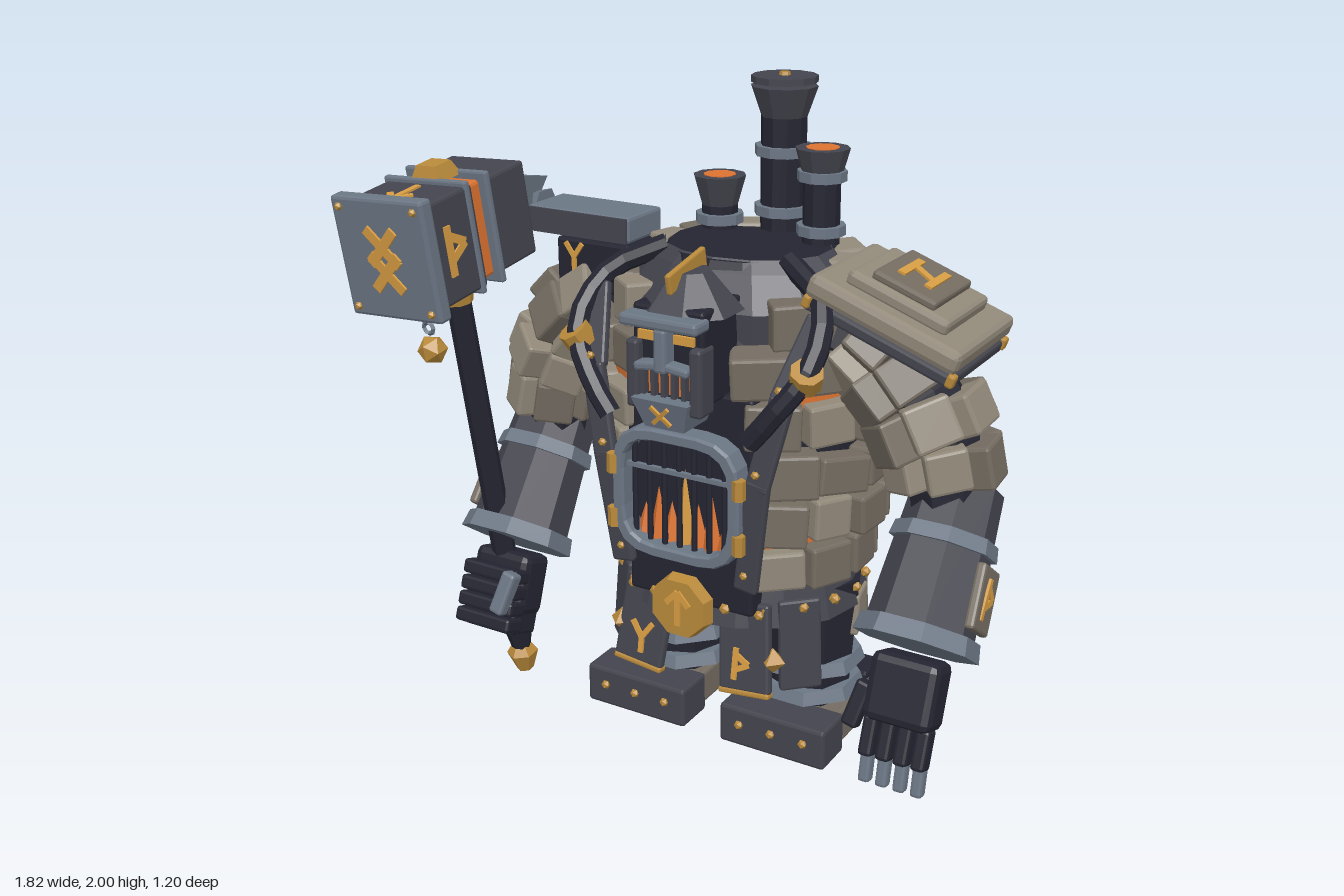
import * as THREE from 'three';
import { RoundedBoxGeometry } from 'three/addons/geometries/RoundedBoxGeometry.js';

const mat = (name, color) => new THREE.MeshStandardMaterial({ name, color, flatShading: true });
const stone = mat('stone', 0x918879), darkStone = mat('dark stone', 0x746c61), iron = mat('iron', 0x44444e),
  black = mat('black iron', 0x242531), steel = mat('steel', 0x6b7684), brass = mat('brass', 0xb8893a),
  gold = mat('bright gold', 0xd69c42), ember = mat('ember', 0xdb7230);
const HALF = Math.PI / 2, OCT = Math.PI / 8;
let seed = 7;
const rnd = () => (seed = (seed * 16807) % 2147483647) / 2147483647 - 0.5;

function place(parent, o, name, pos = [0, 0, 0], rot = [0, 0, 0]) {
  o.name = name;
  o.position.set(...pos);
  o.rotation.set(...rot);
  parent.add(o);
  return o;
}
const group = (p, name, pos, rot) => place(p, new THREE.Group(), name, pos, rot);
const add = (p, name, geo, m, pos, rot) => place(p, new THREE.Mesh(geo, m), name, pos, rot);
const box = (p, name, m, s, pos, rot, bevel = 0.01) =>
  add(p, name, bevel ? new RoundedBoxGeometry(...s, 1, Math.min(bevel, Math.min(...s) * 0.3)) : new THREE.BoxGeometry(...s), m, pos, rot);
const cyl = (p, name, m, rt, rb, h, n, pos, rot) => add(p, name, new THREE.CylinderGeometry(rt, rb, h, n), m, pos, rot);
const stud = (p, pos, r = 0.013) => add(p, 'stud', new THREE.IcosahedronGeometry(r, 0), brass, pos);
const lathe = (p, name, m, pts, n, pos) => add(p, name, new THREE.LatheGeometry(pts.map(v => new THREE.Vector2(...v)), n), m, pos);
const tube = (p, name, m, pts, r) => add(p, name, new THREE.TubeGeometry(
  new THREE.CatmullRomCurve3(pts.map(v => new THREE.Vector3(...v))), 10, r, 8), m);

// Sign drawn with straight strokes [x1, y1, x2, y2] in a plane facing +z
function rune(p, strokes, size, pos, rot) {
  const g = group(p, 'rune', pos, rot);
  for (const [a, b, c, d] of strokes) box(g, 'stroke', gold, [size * 0.17, Math.hypot(c - a, d - b) * size, 0.008],
    [(a + c) / 2 * size, (b + d) / 2 * size, 0], [0, 0, -Math.atan2(c - a, d - b)], 0);
}
const SIGN = {
  y: [[0, -0.5, 0, 0], [0, 0, -0.35, 0.5], [0, 0, 0.35, 0.5]],
  thorn: [[-0.2, -0.5, -0.2, 0.5], [-0.2, 0.3, 0.25, 0.05], [0.25, 0.05, -0.2, -0.2]],
  n: [[-0.3, -0.5, -0.3, 0.5], [0.3, -0.5, 0.3, 0.5], [-0.3, 0.15, 0.3, -0.15]],
  up: [[0, -0.5, 0, 0.5], [0, 0.5, -0.35, 0.12], [0, 0.5, 0.35, 0.12]],
  x: [[-0.4, -0.4, 0.4, 0.4], [-0.4, 0.4, 0.4, -0.4]],
  cross: [[-0.28, -0.5, 0.28, 0.08], [0.28, -0.5, -0.28, 0.08], [-0.28, -0.08, 0.28, 0.5], [0.28, -0.08, -0.28, 0.5]],
};

// Ring of uneven stone blocks on an ellipse, leaving a gap at the front
function brickRing(p, n, rx, rz, h, depth, gap = 0) {
  const step = (Math.PI * 2 - 2 * gap) / n;
  for (let i = 0; i < n; i++) {
    const a = gap + (i + 0.5) * step, w = step * Math.hypot(rx * Math.cos(a), rz * Math.sin(a));
    box(p, 'stoneBlock', rnd() > 0 ? darkStone : stone, [w * (0.98 + rnd() * 0.2), h * (1 + rnd() * 0.2), depth * (1 + rnd() * 0.5)],
      [Math.sin(a) * rx, rnd() * 0.02, Math.cos(a) * rz], [rnd() * 0.14, Math.atan2(Math.sin(a) / rx, Math.cos(a) / rz) + rnd() * 0.12, rnd() * 0.14]);
  }
}
function roundedRect(s, w, h, r) {
  const x = w / 2, y = h / 2;
  s.moveTo(-x + r, -y).lineTo(x - r, -y).quadraticCurveTo(x, -y, x, -y + r).lineTo(x, y - r);
  s.quadraticCurveTo(x, y, x - r, y).lineTo(-x + r, y).quadraticCurveTo(-x, y, -x, y - r);
  return s.lineTo(-x, -y + r).quadraticCurveTo(-x, -y, -x + r, -y);
}

function buildTorso(body) {
  const torso = group(body, 'torso', [0, 0, -0.14]);
  // Rows: height, outer radii, front gap
  const rows = [[0.63, 0.41, 0.37, 0.5], [0.79, 0.44, 0.385, 0.5], [0.94, 0.465, 0.4, 0.5], [1.09, 0.465, 0.39, 0.4],
    [1.24, 0.44, 0.375, 0.3], [1.38, 0.4, 0.335, 0.6], [1.48, 0.34, 0.29, 1.5]];
  lathe(torso, 'core', black, [[0, 0.5], [0.33, 0.5], ...rows.map(r => [r[1] - 0.08, r[0]]), [0, 1.5]], 20).scale.z = 0.84;
  rows.forEach(([y, rx, rz, gap], i) => {
    brickRing(group(torso, 'brickRow', [0, y, 0]), i === 6 ? 7 : 12 + i % 2, rx - 0.045, rz - 0.045, i === 6 ? 0.09 : 0.125, 0.1, gap);
    // Glowing seams between rows
    for (const start of i === 5 ? [2.3] : i % 2 || !i ? [0.6, 2.5, 4.6] : [])
      add(torso, 'emberSeam', new THREE.CylinderGeometry(rx - 0.05, rx - 0.05, 0.06, 10, 1, true, start, 1.1), ember, [0, y + 0.075, 0]).scale.z = rz / rx;
  });
  // Cowl and chimneys
  lathe(body, 'cowl', iron, [[0.36, 1.29], [0.375, 1.4], [0.3, 1.5], [0.26, 1.535]], 14, [0, 0, -0.14]).scale.z = 0.78;
  cyl(body, 'cowlTop', black, 0.25, 0.27, 0.05, 16, [0, 1.505, -0.17]);
  for (const [x, z, top, r, rings] of [[0, -0.36, 1.96, 0.07, [1.59, 1.77]], [0.18, -0.26, 1.81, 0.056, [1.57, 1.73]], [-0.175, -0.28, 1.69, 0.056, [1.56]]]) {
    const c = group(body, 'chimney', [x, 0, z]);
    cyl(c, 'pipe', black, r, r, top - 1.4, 10, [0, (top + 1.4) / 2 - 0.02, 0]);
    cyl(c, 'flare', iron, r * 1.45, r, 0.09, 10, [0, top - 0.045, 0]);
    for (const y of rings) cyl(c, 'pipeRing', steel, r + 0.018, r + 0.018, 0.03, 10, [0, y, 0]);
    if (x) cyl(c, 'emberMouth', ember, 0.05, 0.05, 0.004, 10, [0, top, 0]);
  }
  cyl(body, 'chimneyCap', iron, 0.1, 0.1, 0.02, 12, [0, 1.98, -0.36]);
  cyl(body, 'capPin', brass, 0.015, 0.02, 0.016, 6, [0, 1.992, -0.36]);
  box(body, 'whistle', brass, [0.03, 0.04, 0.04], [0, 1.95, -0.46]);
  // Round shield on the back
  const disc = group(body, 'backDisc', [0, 1.06, -0.53], [0, Math.PI, 0]);
  cyl(disc, 'discPlate', iron, 0.205, 0.215, 0.08, 12, [0, 0, 0], [HALF, 0, 0]);
  cyl(disc, 'discHub', ember, 0.03, 0.04, 0.04, 8, [0, 0, 0.045], [HALF, 0, 0]);
  for (let i = 0, a = 0; i < 8; i++, a += Math.PI / 4)
    rune(disc, [SIGN.y, SIGN.thorn, SIGN.n, SIGN.up][i % 4], 0.07, [Math.sin(a) * 0.125, Math.cos(a) * 0.125, 0.042], [0, 0, -a]);
  // Iron breastplate, straps and pipes
  box(body, 'breastplate', black, [0.42, 0.68, 0.1], [0, 0.84, 0.15]);
  for (const s of [-1, 1]) {
    const pts = [[0.36, 1.42, 0.1], [0.31, 1.2, 0.22], [0.255, 0.95, 0.25], [0.21, 0.62, 0.23]];
    for (let i = 0; i < 3; i++) {
      const [a, b] = [pts[i], pts[i + 1]], len = Math.hypot(a[0] - b[0], a[1] - b[1]);
      box(body, 'strap', iron, [0.075, len + 0.03, 0.03], [s * (a[0] + b[0]) / 2, (a[1] + b[1]) / 2, (a[2] + b[2]) / 2],
        [Math.atan2(a[2] - b[2], len), 0, -s * Math.atan2(a[0] - b[0], a[1] - b[1])]);
      stud(body, [s * b[0], b[1] + 0.04, b[2] + 0.018]);
    }
    tube(body, 'sidePipe', black, [[s * 0.2, 1.53, -0.02], [s * 0.35, 1.45, 0.07], [s * 0.385, 1.31, 0.19], [s * 0.3, 1.17, 0.25], [s * 0.23, 1.08, 0.26]], 0.033);
    cyl(body, 'pipeCollar', brass, 0.048, 0.048, 0.055, 8, [s * 0.375, 1.28, 0.205], [0.5, 0, -s * 0.35]);
  }
}

function buildFurnace(body) {
  const f = group(body, 'furnace', [0, 0.87, 0.21]), shape = roundedRect(new THREE.Shape(), 0.41, 0.39, 0.13);
  shape.holes.push(roundedRect(new THREE.Path(), 0.36, 0.34, 0.11));
  add(f, 'doorFrame', new THREE.ExtrudeGeometry(shape, { depth: 0.06, bevelSize: 0.006, bevelThickness: 0.01, bevelSegments: 1, curveSegments: 4 }), steel, [0, 0, 0.01]);
  for (let i = -3; i <= 3; i++) cyl(f, 'bar', black, 0.009, 0.009, 0.36 - Math.abs(i) * 0.02, 6, [i * 0.05, 0, 0.045]);
  box(f, 'crossBar', steel, [0.36, 0.014, 0.014], [0, 0.07, 0.05], undefined, 0);
  [0.1, 0.16, 0.12, 0.23, 0.13, 0.17, 0.09].forEach((h, i) =>
    cyl(f, 'flame', i === 3 ? gold : ember, 0, 0.034, h, 4, [(i - 3) * 0.045, -0.16 + h / 2, 0.012]));
  for (const s of [-1, 1]) for (const y of [-0.1, 0.07]) cyl(f, 'hinge', brass, 0.02, 0.02, 0.06, 6, [s * 0.21, y, 0.07]);
}

function buildHead(body) {
  const h = group(body, 'head', [0, 0, 0.2]);
  box(h, 'skull', black, [0.23, 0.28, 0.22], [0, 1.31, 0]);
  cyl(h, 'helmet', iron, 0.06, 0.155, 0.11, 8, [0, 1.475, -0.01], [0, OCT, 0]);
  box(h, 'crest', brass, [0.018, 0.06, 0.2], [0, 1.53, 0.01], [0.2, 0, 0]);
  box(h, 'brow', steel, [0.25, 0.035, 0.08], [0, 1.415, 0.13]);
  box(h, 'nose', steel, [0.04, 0.13, 0.06], [0, 1.335, 0.13]);
  box(h, 'mouthGlow', ember, [0.16, 0.07, 0.01], [0, 1.235, 0.113], undefined, 0);
  for (const s of [-1, 1]) {
    box(h, 'eye', gold, [0.065, 0.026, 0.01], [s * 0.058, 1.365, 0.118], undefined, 0);
    box(h, 'cheek', iron, [0.04, 0.2, 0.08], [s * 0.102, 1.25, 0.1]);
    box(h, 'lip', steel, [0.085, 0.025, 0.05], [s * 0.045, 1.285, 0.13], [0, 0, -s * 0.12]);
  }
  for (let i = -2; i <= 2; i++) box(h, 'tooth', iron, [0.014, 0.075, 0.03], [i * 0.033, 1.235, 0.125], undefined, 0);
  cyl(h, 'jaw', steel, 0.13, 0.09, 0.09, 4, [0, 1.145, 0.07], [0, Math.PI / 4, 0]);
  rune(h, SIGN.x, 0.07, [0, 1.145, 0.154], [0.3, 0, 0]);
}

function buildLegs(body) {
  // Belt, medallion and skirt plates
  cyl(body, 'belt', iron, 0.37, 0.4, 0.12, 16, [0, 0.51, -0.13]).scale.z = 0.88;
  for (let i = 0; i < 20; i++) stud(body, [Math.sin(i * Math.PI / 10) * 0.392, 0.51, -0.13 + Math.cos(i * Math.PI / 10) * 0.347], 0.018);
  cyl(body, 'medallion', brass, 0.095, 0.105, 0.04, 8, [0, 0.51, 0.25], [HALF, OCT, 0]);
  rune(body, SIGN.up, 0.11, [0, 0.51, 0.272]);
  box(body, 'backPlate', iron, [0.16, 0.28, 0.04], [0, 0.38, -0.45], [0.04, 0, 0]);
  box(body, 'backPlateTrim', brass, [0.17, 0.025, 0.05], [0, 0.245, -0.455]);
  for (const s of [-1, 1]) {
    box(body, 'skirtPlate', iron, [0.17, 0.28, 0.03], [s * 0.175, 0.385, 0.17], [-0.16, 0, s * 0.1]);
    box(body, 'skirtTrim', brass, [0.17, 0.018, 0.036], [s * 0.188, 0.245, 0.192], [-0.16, 0, s * 0.1]);
    rune(body, s < 0 ? SIGN.y : SIGN.thorn, 0.1, [s * 0.175, 0.335, 0.199], [-0.16, 0, 0]);
    for (const x of [0.12, 0.22]) stud(body, [s * x, 0.5, 0.17], 0.016);
    box(body, 'sideSkirt', iron, [0.13, 0.29, 0.03], [s * 0.31, 0.39, 0.08], [-0.1, s * 0.75, s * 0.08]);
    add(body, 'skirtStud', new THREE.OctahedronGeometry(0.042), brass, [s * 0.265, 0.36, 0.165]);
    const leg = group(body, 'leg', [s * 0.23, 0, -0.14]), x = s * 0.015;
    cyl(leg, 'thigh', black, 0.17, 0.14, 0.42, 8, [0, 0.32, 0]);
    brickRing(group(leg, 'thighStones', [0, 0.4, -0.02]), 4, 0.13, 0.135, 0.14, 0.08, 1.3);
    for (const y of [0.16, 0.25]) cyl(leg, 'ankleRing', steel, 0.165, 0.18, 0.04, 8, [0, y, 0], [0, OCT, 0]);
    // Foot
    box(leg, 'toeCap', iron, [0.36, 0.13, 0.14], [x, 0.075, 0.205]);
    box(leg, 'footStone', darkStone, [0.31, 0.11, 0.32], [x, 0.062, 0]);
    box(leg, 'heel', black, [0.27, 0.13, 0.12], [x, 0.075, -0.18]);
    box(leg, 'sole', darkStone, [0.26, 0.02, 0.4], [x, 0.012, 0.04], undefined, 0);
    for (const i of [-1, 0, 1]) stud(leg, [x + i * 0.11, 0.085, 0.277], 0.015);
  }
}

function buildArm(body, s) {
  const arm = group(body, s > 0 ? 'leftArm' : 'rightArm');
  tube(arm, 'armCore', black, [[s * 0.3, 1.33, -0.1], [s * 0.52, 1.24, -0.1], [s * 0.64, 1.1, -0.1], [s * 0.69, 0.85, -0.1]], 0.115);
  for (const [x, y, r, tilt] of [[0.44, 1.3, 0.12, 0.95], [0.54, 1.23, 0.135, 0.75], [0.615, 1.11, 0.135, 0.45], [0.665, 0.99, 0.115, 0.2]])
    brickRing(group(arm, 'armStones', [s * x, y, -0.1], [0, 0, s * tilt]), 6, r, r * 1.1, 0.125, 0.09);
  const fore = group(arm, 'forearm', [s * 0.7, 0.83, -0.1], [-0.62, 0, 0]);
  cyl(fore, 'bracer', iron, 0.13, 0.16, 0.46, 8, [0, -0.14, 0], [0, OCT, 0]);
  cyl(fore, 'upperBand', steel, 0.152, 0.16, 0.045, 8, [0, -0.08, 0], [0, OCT, 0]);
  cyl(fore, 'cuff', steel, 0.175, 0.185, 0.055, 8, [0, -0.365, 0], [0, OCT, 0]);
  box(fore, 'runeStone', darkStone, [0.03, 0.19, 0.15], [s * 0.153, -0.22, 0], [0, 0, s * 0.06]);
  rune(fore, SIGN.thorn, 0.12, [s * 0.171, -0.22, 0], [0, s * HALF, 0]);
  box(arm, 'elbowPlate', steel, [0.17, 0.2, 0.05], [s * 0.68, 0.85, -0.23], [-0.3, 0, 0]);
  cyl(arm, 'elbowSpike', brass, 0, 0.04, 0.13, 6, [s * 0.68, 0.84, -0.3], [-HALF, 0, 0]);
  const hand = group(arm, 'hand', [s * 0.7, 0.41, 0.165], [-0.35, 0, 0]);
  box(hand, 'palm', black, [0.21, 0.2, 0.13], [0, -0.02, 0], undefined, 0.025);
  for (let i = 0; i < 4; i++) {
    const x = (i - 1.5) * 0.054;
    if (s < 0) box(hand, 'finger', black, [0.21, 0.046, 0.08], [0, 0.01 - i * 0.052, 0.075]); // closed fist
    else {
      box(hand, 'knuckle', black, [0.042, 0.12, 0.06], [x, -0.17, 0.01]);
      box(hand, 'fingertip', steel, [0.036, 0.1, 0.042], [x, -0.26, -0.005], [0.15, 0, 0]);
    }
  }
  if (s < 0) box(hand, 'fistBase', black, [0.19, 0.1, 0.13], [0, -0.13, 0.01]);
  box(hand, 'thumb', s > 0 ? black : steel, [0.05, 0.14, 0.05], s > 0 ? [-0.13, -0.09, 0.02] : [0.08, -0.04, 0.125], [0, 0, -0.22]);
}

function buildShoulders(body) {
  const pad = group(body, 'leftShoulderPad', [0.545, 1.43, -0.1], [0, 0, -0.35]);
  box(pad, 'padRim', iron, [0.48, 0.04, 0.38], [0, -0.06, 0]);
  box(pad, 'padStone', stone, [0.48, 0.07, 0.42], [0, 0, 0], undefined, 0.02);
  box(pad, 'padStep', stone, [0.32, 0.05, 0.3], [0, 0.05, 0], undefined, 0.02);
  box(pad, 'padTop', darkStone, [0.2, 0.03, 0.26], [0, 0.085, 0]);
  rune(pad, SIGN.n, 0.14, [0, 0.103, 0], [-HALF, 0, 0]);
  for (const x of [-0.225, 0.235]) for (const z of [-0.19, 0.19]) box(pad, 'padBolt', brass, [0.025, 0.04, 0.03], [x, -0.05, z]);
  const post = group(body, 'rightShoulderBlock', [-0.5, 0, -0.1]);
  box(post, 'blockBase', black, [0.26, 0.16, 0.24], [0.05, 1.43, -0.01]);
  box(post, 'blockTop', steel, [0.37, 0.08, 0.19], [-0.015, 1.55, 0]);
  box(post, 'blockFront', iron, [0.36, 0.075, 0.009], [-0.015, 1.55, 0.097], undefined, 0);
  rune(post, SIGN.y, 0.085, [-0.015, 1.455, 0.113]);
  cyl(post, 'sideSpike', steel, 0, 0.065, 0.25, 6, [-0.32, 1.56, 0], [0, 0, HALF]);
}

function buildHammer(body) {
  const h = group(body, 'hammer', [-0.77, 1.57, 0.3], [0.12, 0, 0.05]);
  box(h, 'backBlock', iron, [0.27, 0.29, 0.2], [0, 0, -0.14]);
  box(h, 'frontBlock', iron, [0.29, 0.31, 0.2], [0, 0, 0.12]);
  box(h, 'emberBand', ember, [0.24, 0.29, 0.1]);
  for (const z of [-0.05, 0.045]) box(h, 'rib', steel, [0.3, 0.34, 0.022], [0, 0, z]);
  box(h, 'facePlate', steel, [0.33, 0.36, 0.05], [0, 0, 0.245]);
  rune(h, SIGN.cross, 0.18, [0, 0, 0.273]);
  for (const x of [-0.135, 0.135]) for (const y of [-0.15, 0.15]) stud(h, [x, y, 0.272]);
  for (const s of [-1, 1]) rune(h, SIGN.thorn, 0.15, [s * 0.147, 0, 0.13], [0, s * HALF, 0]);
  rune(h, SIGN.up, 0.12, [0, 0.157, 0.14], [-HALF, 0, Math.PI]);
  cyl(h, 'backSpike', steel, 0, 0.13, 0.28, 4, [0, 0, -0.38], [-HALF, Math.PI / 4, 0]);
  cyl(h, 'topCap', brass, 0.05, 0.075, 0.045, 4, [0, 0.18, 0], [0, Math.PI / 4, 0]);
  // Shaft and pommel
  cyl(h, 'shaft', black, 0.038, 0.038, 1.25, 8, [0, -0.77, 0]);
  cyl(h, 'shaftSocket', brass, 0.055, 0.045, 0.06, 8, [0, -0.2, 0]);
  cyl(h, 'shaftEnd', black, 0.055, 0.03, 0.12, 8, [0, -1.4, 0]);
  lathe(h, 'pommel', brass, [[0, -1.54], [0.028, -1.54], [0.052, -1.475], [0.03, -1.445], [0, -1.445]], 6);
  // Hanging charm
  for (let i = 0; i < 3; i++) add(h, 'chainLink', new THREE.TorusGeometry(0.018, 0.008, 4, 8), steel, [-0.065, -0.215 - i * 0.037, 0.08], [0, i * HALF, 0]);
  add(h, 'charm', new THREE.IcosahedronGeometry(0.047, 0), brass, [-0.065, -0.36, 0.08]);
}

export function createModel() {
  const model = new THREE.Group(), body = group(model, 'body', [0.035, 0, 0]);
  model.name = 'furnaceGolem';
  for (const build of [buildTorso, buildFurnace, buildHead, buildLegs, buildShoulders, buildHammer]) build(body);
  for (const s of [-1, 1]) buildArm(body, s);
  return model;
}
